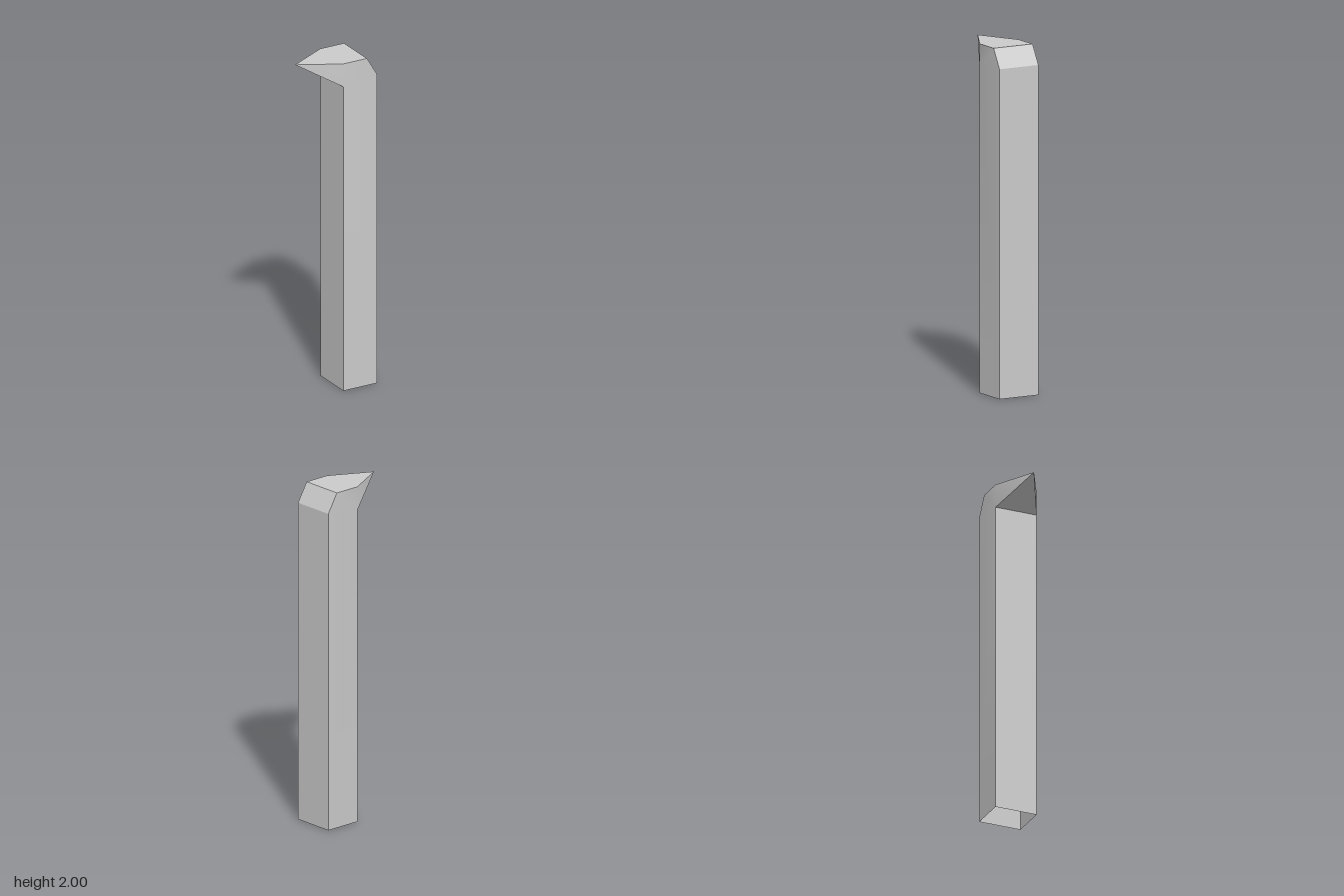
import * as THREE from 'three';
import { toCreasedNormals } from 'three/addons/utils/BufferGeometryUtils.js';

const HALF = 0.127; // half depth of the post

export function createModel() {
  const group = new THREE.Group();
  group.name = 'beakedPost';

  // Side profile, counter-clockwise from the front; the bottom stays open
  const profile = [
    [0.01, 0], [0.23, 0], [0.23, 1.89], [0.165, 2], [0.01, 2], [0.01, 1.86],
  ];
  const n = profile.length;
  const tip = [-0.23, 2, 0];
  const front = profile.map(([x, y]) => [x, y, HALF]);
  const back = profile.map(([x, y]) => [x, y, -HALF]);

  const positions = [];
  const tri = (a, b, c) => positions.push(...a, ...b, ...c);

  // Flat sides, fanned from the neck corner
  for (let i = 0; i < n - 2; i++) {
    tri(front[n - 1], front[i], front[i + 1]);
    tri(back[n - 1], back[i + 1], back[i]);
  }

  // Outer face, chamfer, top and inner face (beak root is left open)
  for (const i of [1, 2, 3, 5]) {
    const j = (i + 1) % n;
    tri(front[i], back[i], back[j]);
    tri(front[i], back[j], front[j]);
  }

  // Beak: top, two cheeks and underside meeting at the tip
  const root = [front[4], back[4], back[5], front[5]];
  root.forEach((p, i) => tri(p, root[(i + 1) % 4], tip));

  const geometry = new THREE.BufferGeometry();
  geometry.setAttribute('position', new THREE.Float32BufferAttribute(positions, 3));

  const post = new THREE.Mesh(
    toCreasedNormals(geometry, Math.PI / 6),
    new THREE.MeshStandardMaterial({ color: 0xcccccc, side: THREE.DoubleSide })
  );
  post.name = 'postWithBeak';
  group.add(post);
  return group;
}
